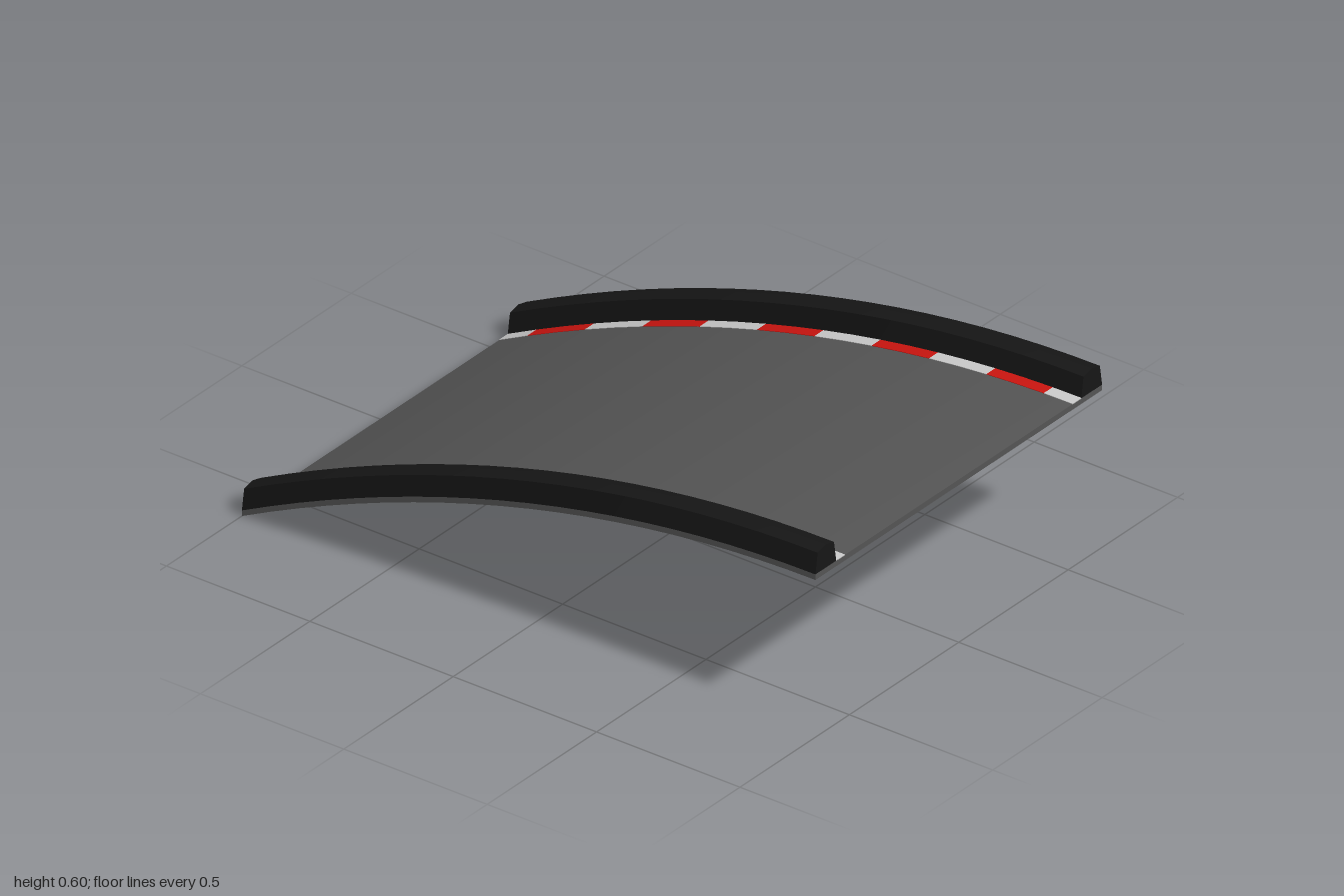
import * as THREE from 'three';
import { toCreasedNormals } from 'three/addons/utils/BufferGeometryUtils.js';

const STEP = 0.1; // segment length along the ramp
const HALF_WIDTH = 0.655;
const SLAB = 0.018;

const paint = (color) => new THREE.MeshStandardMaterial({ color });

// Height of the ramp's underside: level at the front, falling to the ground at the back
const rise = (z) => 0.505 * (1 - ((1 - z) / 2) ** 2);

// Sweeps a cross-section (x, y points) along the ramp curve from z0 to z1
function sweep(name, points, z0, z1, material) {
  const shape = new THREE.Shape(points.map(([x, y]) => new THREE.Vector2(x, y)));
  const geometry = new THREE.ExtrudeGeometry(shape, {
    depth: z1 - z0,
    steps: Math.round((z1 - z0) / STEP),
    bevelEnabled: false,
  });
  geometry.translate(0, 0, z0);
  const p = geometry.attributes.position;
  for (let i = 0; i < p.count; i++) p.setY(i, p.getY(i) + rise(p.getZ(i)));
  const mesh = new THREE.Mesh(toCreasedNormals(geometry, 0.2), material);
  mesh.name = name;
  return mesh;
}

const rect = (x0, x1, y0, y1) => [[x0, y0], [x1, y0], [x1, y1], [x0, y1]];

export function createModel() {
  const model = new THREE.Group();
  model.name = 'curvedRamp';
  const asphalt = paint(0x555555);
  const rubber = paint(0x161616);
  const red = paint(0xcc1510);
  const white = paint(0xd0d0d0);

  // Road deck
  model.add(sweep('roadDeck', rect(-HALF_WIDTH, HALF_WIDTH, 0, SLAB), -1, 1, asphalt));

  for (const [side, s] of [['left', 1], ['right', -1]]) {
    // Side barrier with tapered sides and a low ridge on top
    const profile = [
      [0.56, SLAB], [HALF_WIDTH, SLAB], [0.645, 0.083], [0.607, 0.092], [0.57, 0.083],
    ].map(([x, y]) => [s * x, y]);
    model.add(sweep(side + 'Barrier', profile, -1, 1, rubber));

    // Red and white edge stripes
    const stripes = new THREE.Group();
    stripes.name = side + 'EdgeStripes';
    const strip = rect(s * 0.52, s * 0.562, SLAB - 0.001, SLAB + 0.0015);
    for (let i = 0; i <= 10; i++) {
      const z0 = Math.max(-1, -1.1 + 0.2 * i);
      const z1 = Math.min(1, -0.9 + 0.2 * i);
      const isRed = i % 2 === 1;
      stripes.add(sweep(isRed ? 'redStripe' : 'whiteStripe', strip, z0, z1, isRed ? red : white));
    }
    model.add(stripes);
  }
  return model;
}
